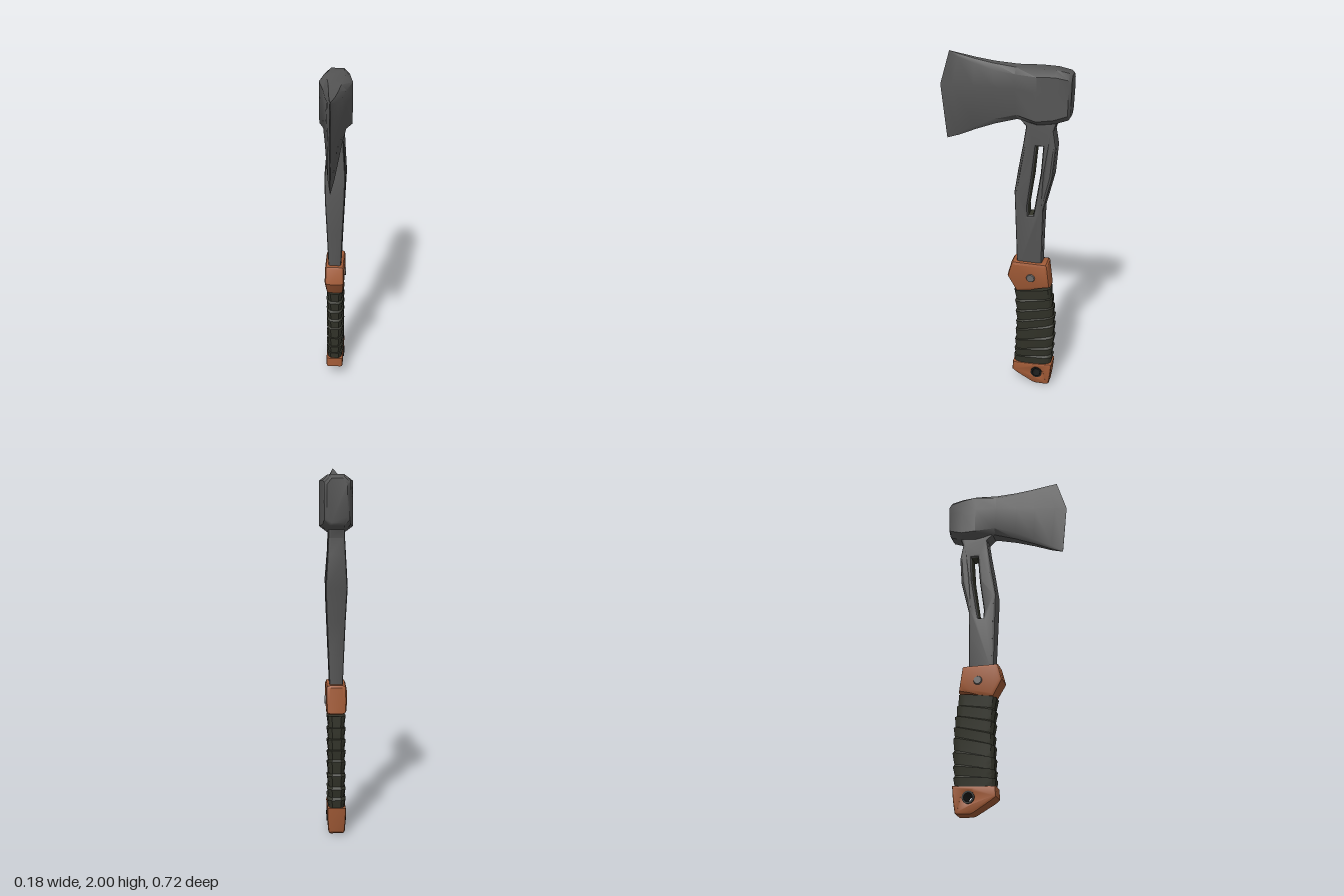
import * as THREE from 'three';
import { toCreasedNormals } from 'three/addons/utils/BufferGeometryUtils.js';

const material = (name, color, side = THREE.FrontSide) => {
  const m = new THREE.MeshStandardMaterial({ color, side });
  m.name = name;
  return m;
};

// Skin a list of equal-length rings of [x, y, z]; optionally cap both ends.
function loft(rings, crease, capped = true) {
  const n = rings[0].length, pos = rings.flat(2), index = [];
  for (let r = 0; r < rings.length - 1; r++) {
    for (let i = 0; i < n; i++) {
      const j = (i + 1) % n, a = r * n, b = a + n;
      index.push(a + i, a + j, b + j, a + i, b + j, b + i);
    }
  }
  if (capped) {
    const last = (rings.length - 1) * n;
    for (let i = 1; i < n - 1; i++) index.push(0, i + 1, i, last, last + i, last + i + 1);
  }
  const g = new THREE.BufferGeometry();
  g.setAttribute('position', new THREE.Float32BufferAttribute(pos, 3));
  g.setIndex(index);
  return toCreasedNormals(g, crease);
}

// Piecewise linear lookup in [[key, value], ...]
function lookup(table, k) {
  for (let i = 1; i < table.length; i++) {
    const [k0, v0] = table[i - 1], [k1, v1] = table[i];
    if (k <= k1) return v0 + (v1 - v0) * Math.max(0, (k - k0) / (k1 - k0));
  }
  return table[table.length - 1][1];
}

// Side profile in (-z, y), extruded across x; widths gives half thickness by height.
function slab(outline, hole, bevel, widths, crease) {
  const shape = new THREE.Shape(outline.map(p => new THREE.Vector2(...p)));
  if (hole) shape.holes.push(new THREE.Path(hole.map(p => new THREE.Vector2(...p))));
  const half = 0.05;
  const g = new THREE.ExtrudeGeometry(shape, {
    depth: 2 * (half - bevel), bevelEnabled: true, bevelThickness: bevel,
    bevelSize: bevel, bevelOffset: -bevel, bevelSegments: 2, curveSegments: 12,
  });
  g.translate(0, 0, -(half - bevel)).rotateY(Math.PI / 2);
  const p = g.attributes.position;
  for (let i = 0; i < p.count; i++) p.setX(i, p.getX(i) * lookup(widths, p.getY(i)) / half);
  return toCreasedNormals(g, crease);
}

const circle = (a, y, r, n) => Array.from({ length: n }, (_, i) => {
  const t = (i / n) * Math.PI * 2;
  return [a + r * Math.cos(t), y + r * Math.sin(t)];
});

export function createModel() {
  const axe = new THREE.Group();
  axe.name = 'axe';
  const steel = material('steel', 0x565656);
  const leather = material('orangeLeather', 0xa05a36);
  const wrapCloth = material('darkWrap', 0x33342a, THREE.DoubleSide);
  const eyeletDark = material('eyeletBlack', 0x1b1c1b, THREE.DoubleSide);
  const rivetSteel = material('rivetSteel', 0x6a6866);
  const add = (name, geometry, mat) => {
    const m = new THREE.Mesh(geometry, mat);
    m.name = name;
    axe.add(m);
    return m;
  };

  // Head: [zTop, zMiddle, zBottom, yTop, yBottom, halfWidth, cornerCut], poll to edge
  const sections = [
    [-0.355, -0.355, -0.35, 1.922, 1.70, 0.052, 0.03],
    [-0.34, -0.34, -0.34, 1.932, 1.685, 0.066, 0.03],
    [-0.27, -0.27, -0.27, 1.945, 1.66, 0.073, 0.03],
    [-0.18, -0.18, -0.18, 1.945, 1.65, 0.09, 0.03],
    [-0.06, -0.06, -0.07, 1.945, 1.67, 0.061, 0.03],
    [0.06, 0.06, 0.05, 1.955, 1.633, 0.044, 0.03],
    [0.16, 0.17, 0.16, 1.97, 1.59, 0.03, 0.02],
    [0.25, 0.29, 0.26, 1.988, 1.545, 0.016, 0.015],
    [0.305, 0.36, 0.33, 2.0, 1.52, 0.002, 0.008],
  ];
  add('axeHead', loft(sections.map(([zt, zm, zb, yt, yb, w, c]) => {
    const ym = yb + (yt - yb) * 0.62;
    const kt = c / (yt - ym), kb = c / (ym - yb);
    const side = [
      [0.55 * w, yb, zb], [w, yb + c, zb + (zm - zb) * kb], [w, ym, zm],
      [w, yt - c, zt + (zm - zt) * kt], [0.55 * w, yt, zt],
    ];
    return [...side, ...side.slice().reverse().map(([x, y, z]) => [-x, y, z])];
  }), 0.75), steel);

  // Steel shaft with a long slot
  const slot = [[0.135, 1.12], [0.165, 1.125], [0.177, 1.2], [0.205, 1.38], [0.213, 1.53],
    [0.172, 1.53], [0.155, 1.35], [0.13, 1.17]];
  const shaftWidths = [[0.7, 0.034], [0.83, 0.036], [1.2, 0.052], [1.38, 0.06], [1.55, 0.047], [1.7, 0.042]];
  add('shaft', slab([
    [0.072, 0.78], [0.215, 0.78], [0.218, 1.0], [0.222, 1.17], [0.268, 1.36], [0.282, 1.53],
    [0.267, 1.62], [0.285, 1.675], [0.27, 1.72], [0.1, 1.72], [0.075, 1.675], [0.117, 1.635],
    [0.105, 1.55], [0.08, 1.4], [0.058, 1.26], [0.064, 1.05],
  ], slot, 0.014, shaftWidths, 0.6), steel);

  // Dark lining of the slot
  const liningRing = s => slot.map(([a, y]) => [
    s * 0.72 * lookup(shaftWidths, y),
    1.325 + (y - 1.325) * 0.992,
    -(a + (lookup([[1.12, 0.15], [1.2, 0.155], [1.53, 0.192]], y) - a) * 0.08),
  ]);
  add('slotLining', loft([liningRing(-1), liningRing(1)], 0.5, false), wrapCloth);

  // Leather collar with a rivet on each side
  add('collar', slab([
    [0.07, 0.635], [0.15, 0.645], [0.21, 0.665], [0.27, 0.68], [0.262, 0.74], [0.252, 0.82],
    [0.243, 0.83], [0.05, 0.83], [0.042, 0.82], [0.018, 0.73],
  ], null, 0.02, [[0.63, 0.05], [0.73, 0.057], [0.83, 0.056]], 0.6), leather);
  for (const s of [-1, 1]) {
    const rivet = add('rivet', new THREE.CylinderGeometry(0.022, 0.026, 0.008, 10), rivetSteel);
    rivet.rotation.z = -s * Math.PI / 2;
    rivet.position.set(s * 0.058, 0.735, -0.157);
  }

  // Wrapped grip: slanted overlapping bands with a small step at each seam
  const front = [[0.12, -0.062], [0.3, -0.069], [0.45, -0.075], [0.55, -0.07], [0.67, -0.062]];
  const back = [[0.12, -0.279], [0.3, -0.291], [0.45, -0.289], [0.55, -0.279], [0.67, -0.262]];
  const corners = [[1, 0], [1, 0.6], [0.86, 0.86], [0.5, 1], [-0.5, 1], [-0.86, 0.86],
    [-1, 0.6], [-1, -0.6], [-0.86, -0.86], [-0.5, -1], [0.5, -1], [0.86, -0.86], [1, -0.6]]
    .map(([x, z]) => [x, -z]);
  const gripRing = (y, swell, tilt) => {
    const f = lookup(front, y), b = lookup(back, y), mid = (f + b) / 2, depth = (f - b) / 2;
    return corners.map(([x, z]) => [
      x * (0.044 + swell), y - z * tilt, mid + z * (depth + swell),
    ]);
  };
  const gripRings = [];
  const seams = [0.13, 0.195, 0.25, 0.32, 0.395, 0.455, 0.52, 0.585, 0.655];
  for (let i = 0; i < seams.length - 1; i++) {
    const tilt = [0.008, 0.016, 0.022, 0.028, 0.03, 0.026, 0.022, 0.016][i];
    gripRings.push(gripRing(seams[i] + 0.003, -0.001, tilt));
    gripRings.push(gripRing((seams[i] + seams[i + 1]) / 2, 0.003, tilt));
    gripRings.push(gripRing(seams[i + 1] - 0.004, 0.007, tilt));
  }
  add('gripWrap', loft(gripRings, 0.6), wrapCloth);

  // Leather pommel with a lanyard hole
  add('pommel', slab([
    [0.05, 0.085], [0.075, 0.065], [0.17, 0.008], [0.19, 0], [0.265, 0.002], [0.275, 0.012],
    [0.285, 0.08], [0.291, 0.155], [0.17, 0.146], [0.055, 0.143],
  ], circle(0.2, 0.088, 0.03, 16), 0.012, [[0, 0.042], [0.03, 0.048], [0.15, 0.052]], 0.6), leather);

  // Eyelet: thin tube with a flat rim on both faces
  const eyelet = [[0.034, -0.054], [0.024, -0.054], [0.024, 0.054], [0.034, 0.054], [0.034, -0.054]]
    .map(p => new THREE.Vector2(...p));
  const ring = add('lanyardEyelet', toCreasedNormals(new THREE.LatheGeometry(eyelet, 16), 0.6), eyeletDark);
  ring.rotation.z = Math.PI / 2;
  ring.position.set(0, 0.088, -0.2);

  return axe;
}
